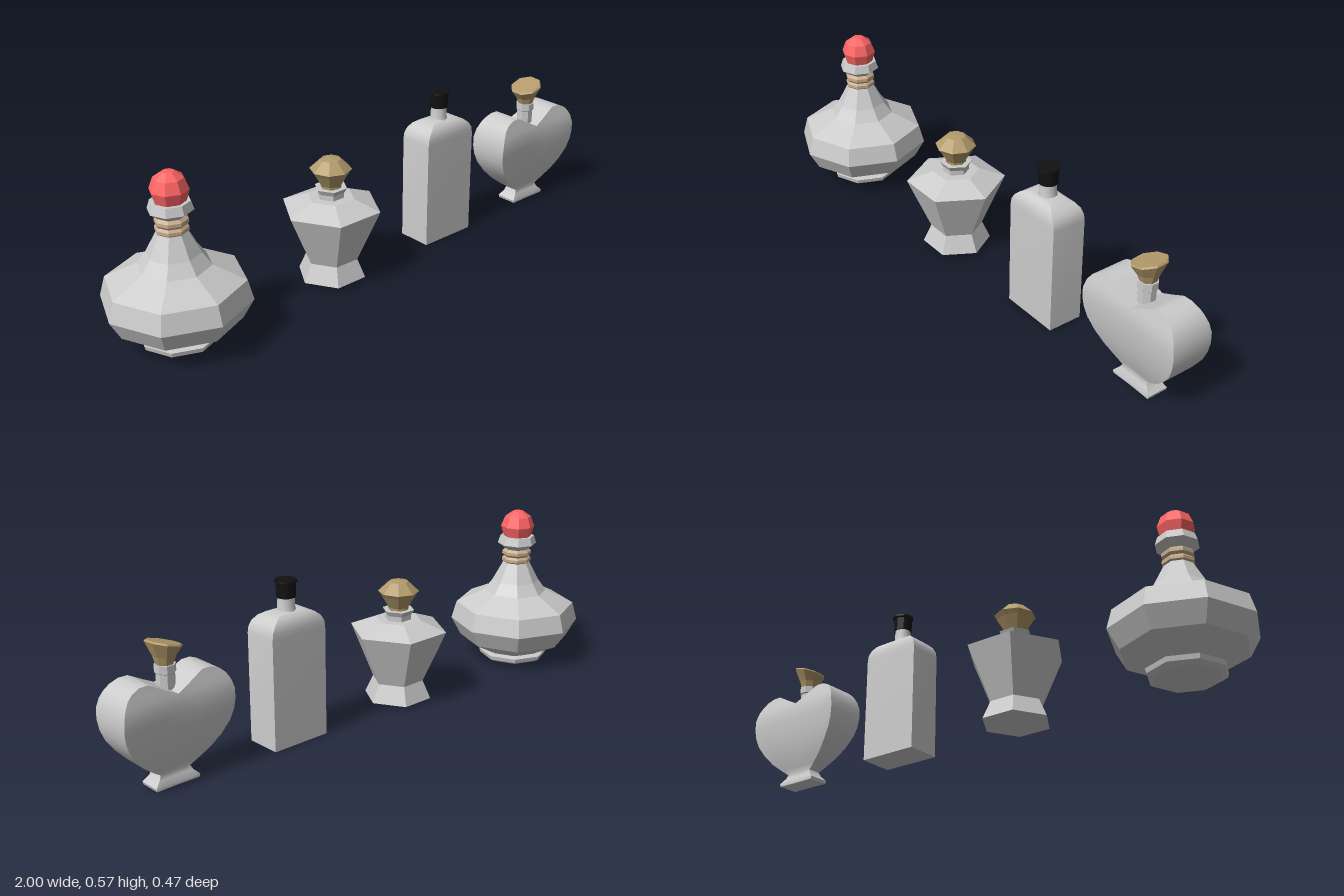
import * as THREE from 'three';
import { mergeGeometries, toCreasedNormals } from 'three/addons/utils/BufferGeometryUtils.js';

const material = (color, flatShading = true) =>
  new THREE.MeshStandardMaterial({ color, flatShading, side: THREE.DoubleSide });
const grey = material(0xcccccc);
const smoothGrey = material(0xcccccc, false);
const red = material(0xff6464);
const gold = material(0xb39b6b);
const tan = material(0xc8ac8c);
const black = material(0x111111);

function add(parent, name, geometry, mat) {
  const mesh = new THREE.Mesh(geometry, mat);
  mesh.name = name;
  parent.add(mesh);
  return mesh;
}

// Faceted turned part from [radius, height] pairs, bottom to top
function turned(profile, sides, turn = 0) {
  const points = profile.map(([r, y]) => new THREE.Vector2(r, y));
  return new THREE.LatheGeometry(points, sides).rotateY(turn);
}

// Skin over rings of [x, y, z] points, counter-clockwise from above, with both ends capped.
// Walls lying on the x = 0 seam are left out.
function loft(rings) {
  const n = rings[0].length;
  const index = [];
  const onSeam = (ring, i, j) => ring[i][0] === 0 && ring[j][0] === 0;
  for (let k = 0; k < rings.length - 1; k++) {
    for (let i = 0; i < n; i++) {
      const j = (i + 1) % n;
      if (onSeam(rings[k], i, j) && onSeam(rings[k + 1], i, j)) continue;
      const a = k * n + i, b = k * n + j;
      index.push(a, b, b + n, a, b + n, a + n);
    }
  }
  const last = (rings.length - 1) * n;
  for (let i = 1; i < n - 1; i++) {
    index.push(0, i + 1, i, last, last + i, last + i + 1);
  }
  const geometry = new THREE.BufferGeometry();
  geometry.setAttribute('position', new THREE.Float32BufferAttribute(rings.flat(2), 3));
  geometry.setIndex(index);
  return geometry;
}

function bottle(name, x) {
  const group = new THREE.Group();
  group.name = name;
  group.position.x = x;
  return group;
}

// Wide eight-sided decanter with a ball stopper
function roundDecanter() {
  const g = bottle('roundDecanter', -0.765);
  add(g, 'decanterBody', turned([
    [0, 0.003], [0.105, 0.003], [0.123, 0.013], [0.127, 0.028], [0.1, 0.032],
    [0.2, 0.085], [0.236, 0.15], [0.218, 0.215], [0.115, 0.265], [0.085, 0.305],
    [0.064, 0.345], [0.048, 0.375], [0.042, 0.425], [0.071, 0.447], [0.062, 0.475], [0, 0.475],
  ], 8), grey);
  add(g, 'neckRing', turned([
    [0.042, 0.37], [0.053, 0.38], [0.053, 0.39], [0.046, 0.398],
    [0.053, 0.406], [0.053, 0.417], [0.042, 0.427],
  ], 8), tan);
  add(g, 'ballStopper', turned([
    [0, 0.473], [0.05, 0.475], [0.061, 0.512], [0.047, 0.548], [0.02, 0.567], [0, 0.57],
  ], 8), red);
  return g;
}

// Six-sided flask with a cut stopper
function hexagonFlask() {
  const g = bottle('hexagonFlask', -0.15);
  add(g, 'flaskBody', turned([
    [0, 0.01], [0.118, 0.012], [0.09, 0.075], [0.17, 0.26], [0.08, 0.295], [0, 0.295],
  ], 6, Math.PI / 6), grey);
  add(g, 'flaskCollar', turned([
    [0.045, 0.294], [0.045, 0.312], [0.056, 0.33], [0.036, 0.33], [0.036, 0.298],
  ], 6, Math.PI / 6), grey);
  add(g, 'cutStopper', turned([
    [0, 0.3], [0.032, 0.3], [0.035, 0.338], [0.06, 0.38], [0.07, 0.394], [0.034, 0.428], [0, 0.432],
  ], 8), gold);
  return g;
}

// Tall rectangular bottle with rounded shoulders
function tallBottle() {
  const g = bottle('tallBottle', 0.343);
  const rows = [ // half width, half depth, height
    [0.107, 0.062, 0.003], [0.107, 0.062, 0.375], [0.104, 0.061, 0.397], [0.094, 0.057, 0.415],
    [0.077, 0.048, 0.43], [0.054, 0.034, 0.44], [0.03, 0.026, 0.443],
  ];
  const body = loft(rows.map(([w, d, y]) => [[w, y, d], [w, y, -d], [-w, y, -d], [-w, y, d]]));
  add(g, 'tallBody', toCreasedNormals(body, 0.6), smoothGrey);
  add(g, 'tallNeck', turned([
    [0.036, 0.436], [0.029, 0.446], [0.027, 0.49],
  ], 12), smoothGrey);
  add(g, 'screwCap', turned([
    [0, 0.484], [0.031, 0.484], [0.032, 0.53], [0.037, 0.534], [0.036, 0.54], [0, 0.541],
  ], 16), black);
  return g;
}

// Heart-shaped bottle on a flared foot
function heartBottle() {
  const g = bottle('heartBottle', 0.802);
  const rows = [ // height, inner x, outer x, half depth
    [0.003, 0, 0.076, 0.039], [0.013, 0, 0.079, 0.04], [0.032, 0, 0.06, 0.03],
    [0.046, 0, 0.053, 0.026], [0.065, 0, 0.08, 0.034], [0.095, 0, 0.118, 0.046],
    [0.13, 0, 0.15, 0.057], [0.17, 0, 0.177, 0.066], [0.205, 0, 0.19, 0.071],
    [0.24, 0, 0.195, 0.074], [0.275, 0, 0.193, 0.075], [0.305, 0, 0.184, 0.07],
    [0.328, 0.045, 0.17, 0.063], [0.343, 0.072, 0.153, 0.059], [0.355, 0.095, 0.125, 0.056],
  ];
  const half = (side) => loft(rows.map(([y, inner, outer, depth]) => {
    const edge = [0, 0.33, 0.67, 1].map((t) => {
      const x = inner + (outer - inner) * t;
      return [x, depth * (0.9 + 0.1 * Math.min(1, x / 0.16))]; // waisted at the middle
    });
    const ring = [
      ...edge.map(([x, z]) => [x * side, y, z]),
      ...edge.slice().reverse().map(([x, z]) => [x * side, y, -z]),
    ].map(([x, h, z]) => [x === 0 ? 0 : x, h, z]);
    return side > 0 ? ring : ring.reverse();
  }));
  const body = mergeGeometries([half(1), half(-1)]);
  add(g, 'heartBody', toCreasedNormals(body, 0.65), smoothGrey);
  add(g, 'heartNeck', turned([
    [0.029, 0.28], [0.029, 0.355], [0.033, 0.358], [0.033, 0.383], [0, 0.383],
  ], 8, Math.PI / 8), grey);

  // Stopper whose top slants up toward +x
  const stopper = turned([
    [0, 0.38], [0.027, 0.38], [0.036, 0.407], [0.057, 0.445], [0.053, 0.45], [0, 0.45],
  ], 8, Math.PI / 8);
  const p = stopper.attributes.position;
  for (let i = 0; i < p.count; i++) {
    const lift = (p.getY(i) - 0.38) / 0.07;
    p.setY(i, p.getY(i) + lift * (0.3 * p.getX(i) - 0.06 * p.getZ(i)));
  }
  add(g, 'slantedStopper', stopper, gold);
  return g;
}

export function createModel() {
  const model = new THREE.Group();
  model.name = 'perfumeBottles';
  model.add(roundDecanter(), hexagonFlask(), tallBottle(), heartBottle());
  return model;
}
